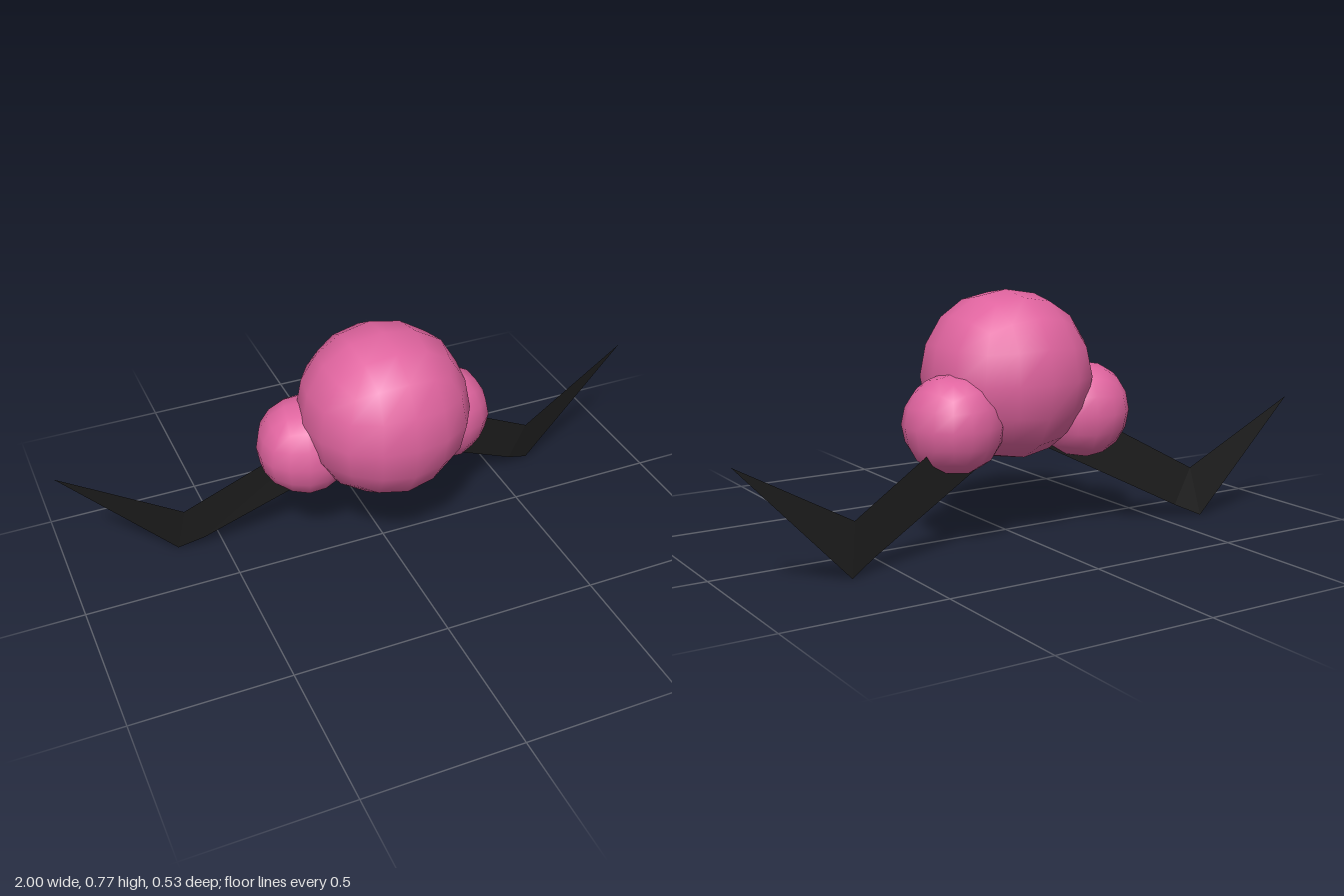
import * as THREE from 'three';
import { mergeVertices } from 'three/addons/utils/BufferGeometryUtils.js';

const pink = new THREE.MeshStandardMaterial({ color: 0xe0649f });
const black = new THREE.MeshStandardMaterial({ color: 0x1c1c1c, side: THREE.DoubleSide, flatShading: true });

// Twice-smoothed cube: box coordinates (sorted by size) -> rounded coordinates, unit radius at face centres
const ROUNDED = {
  '0,0,2': [0, 0, 1], '0,1,2': [0, 0.4, 0.933], '0,2,2': [0, 0.732, 0.732],
  '1,1,2': [0.372, 0.372, 0.87], '1,2,2': [0.344, 0.682, 0.682], '2,2,2': [0.579, 0.579, 0.579],
};

function ball(name, radius, x, y, z, turn = 0) {
  let g = new THREE.BoxGeometry(4, 4, 4, 4, 4, 4);
  g.deleteAttribute('uv');
  g.deleteAttribute('normal');
  g = mergeVertices(g);
  const p = g.attributes.position;
  for (let i = 0; i < p.count; i++) {
    const c = [p.getX(i), p.getY(i), p.getZ(i)].map(Math.round);
    const sorted = c.map(Math.abs).sort((a, b) => a - b);
    const target = ROUNDED[sorted.join(',')];
    const v = c.map((a) => Math.sign(a) * target[sorted.indexOf(Math.abs(a))] * radius);
    p.setXYZ(i, ...v);
  }
  g.computeVertexNormals();
  const mesh = new THREE.Mesh(g, pink);
  mesh.name = name;
  mesh.position.set(x, y, z);
  mesh.rotation.y = turn;
  return mesh;
}

// Thin bent blade: root, knee and pointed tip
function leg(name, side) {
  const corners = [
    [0.1, 0.45, -0.078], [0.08, 0.285, -0.08], // root top, root bottom
    [0.56, 0.04, -0.17], [0.62, 0.16, -0.172], // shin bottom, knee top
    [0.645, 0, -0.2], [1, 0.372, -0.216], // knee point, tip
  ];
  const g = new THREE.BufferGeometry();
  g.setAttribute('position', new THREE.Float32BufferAttribute(
    corners.flatMap(([x, y, z]) => [x * side, y, z]), 3));
  const faces = [[0, 1, 2], [0, 2, 3], [3, 2, 4], [3, 4, 5]];
  g.setIndex(faces.flatMap(([a, b, c]) => (side > 0 ? [a, b, c] : [a, c, b])));
  const flat = g.toNonIndexed();
  flat.computeVertexNormals();
  const mesh = new THREE.Mesh(flat, black);
  mesh.name = name;
  return mesh;
}

export function createModel() {
  const model = new THREE.Group();
  model.name = 'model';
  model.add(ball('body', 0.267, 0, 0.507, 0));
  for (const [label, side] of [['left', 1], ['right', -1]]) {
    model.add(ball(label + 'SideBall', 0.154, 0.235 * side, 0.384, -0.076, 0.25 * side));
    model.add(leg(label + 'Leg', side));
  }
  return model;
}
